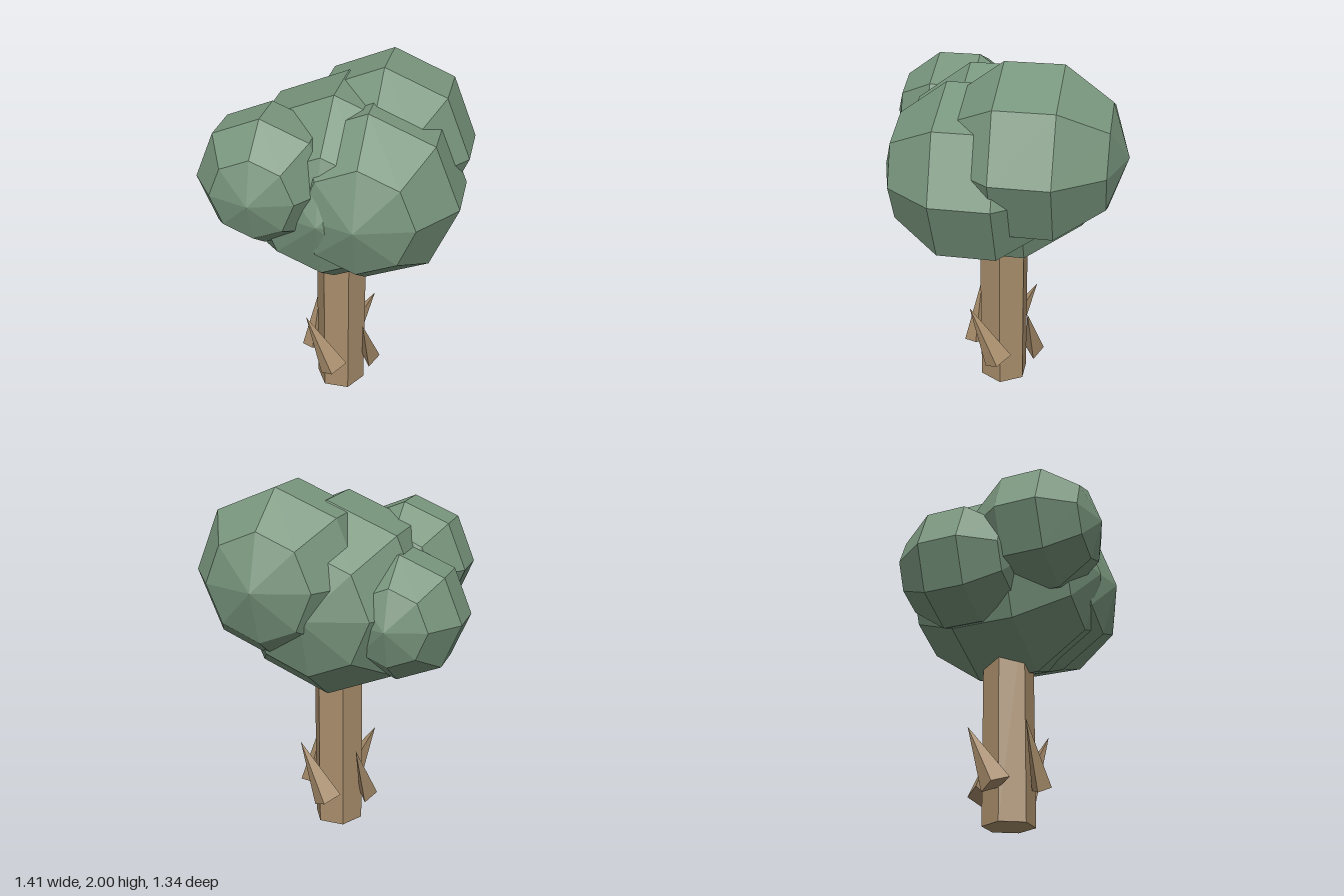
import * as THREE from 'three';
import { ConvexGeometry } from 'three/addons/geometries/ConvexGeometry.js';

export function createModel() {
  const tree = new THREE.Group();
  tree.name = 'tree';

  const leafGreen = new THREE.MeshStandardMaterial({ color: 0x78957d, flatShading: true });
  leafGreen.name = 'leafGreen';
  const barkBrown = new THREE.MeshStandardMaterial({ color: 0xa88d6b, flatShading: true });
  barkBrown.name = 'barkBrown';

  const add = (name, geometry, material, x, y, z) => {
    const mesh = new THREE.Mesh(geometry, material);
    mesh.name = name;
    mesh.position.set(x, y, z);
    tree.add(mesh);
    return mesh;
  };

  // Six-sided trunk, its top hidden inside the crown
  const trunkX = 0.031;
  const trunkHeight = 1.2;
  const trunk = new THREE.CylinderGeometry(0.143, 0.143, trunkHeight, 6).rotateY(Math.PI / 6);
  add('trunk', trunk, barkBrown, trunkX, trunkHeight / 2, 0);

  // Four slanted four-sided branch stubs, one per quarter turn
  const stub = new ConvexGeometry([
    new THREE.Vector3(-0.17, 0.52, 0.165), // tip
    new THREE.Vector3(0.07, 0.22, 0.16),
    new THREE.Vector3(0, 0.185, 0.24),
    new THREE.Vector3(-0.075, 0.145, 0.19),
    new THREE.Vector3(0, 0.18, 0.13),
  ]);
  ['front', 'left', 'back', 'right'].forEach((side, i) => {
    add(side + 'BranchStub', stub, barkBrown, trunkX, 0, 0).rotation.y = (i * Math.PI) / 2;
  });

  // Crown of faceted balls with their poles along z: name, radius, centre
  const balls = [
    ['centreFoliage', 0.5625, 0.03, 1.385, 0],
    ['frontLeftFoliage', 0.5, 0.22, 1.4, 0.1],
    ['backLeftFoliage', 0.485, 0.24, 1.54, -0.19],
    ['frontRightFoliage', 0.365, -0.28, 1.52, 0.302],
    ['backRightFoliage', 0.354, -0.373, 1.34, -0.1],
  ];
  for (const [name, radius, x, y, z] of balls) {
    const ball = new THREE.SphereGeometry(radius, 8, 5).rotateX(Math.PI / 2);
    add(name, ball, leafGreen, x, y, z);
  }

  return tree;
}
